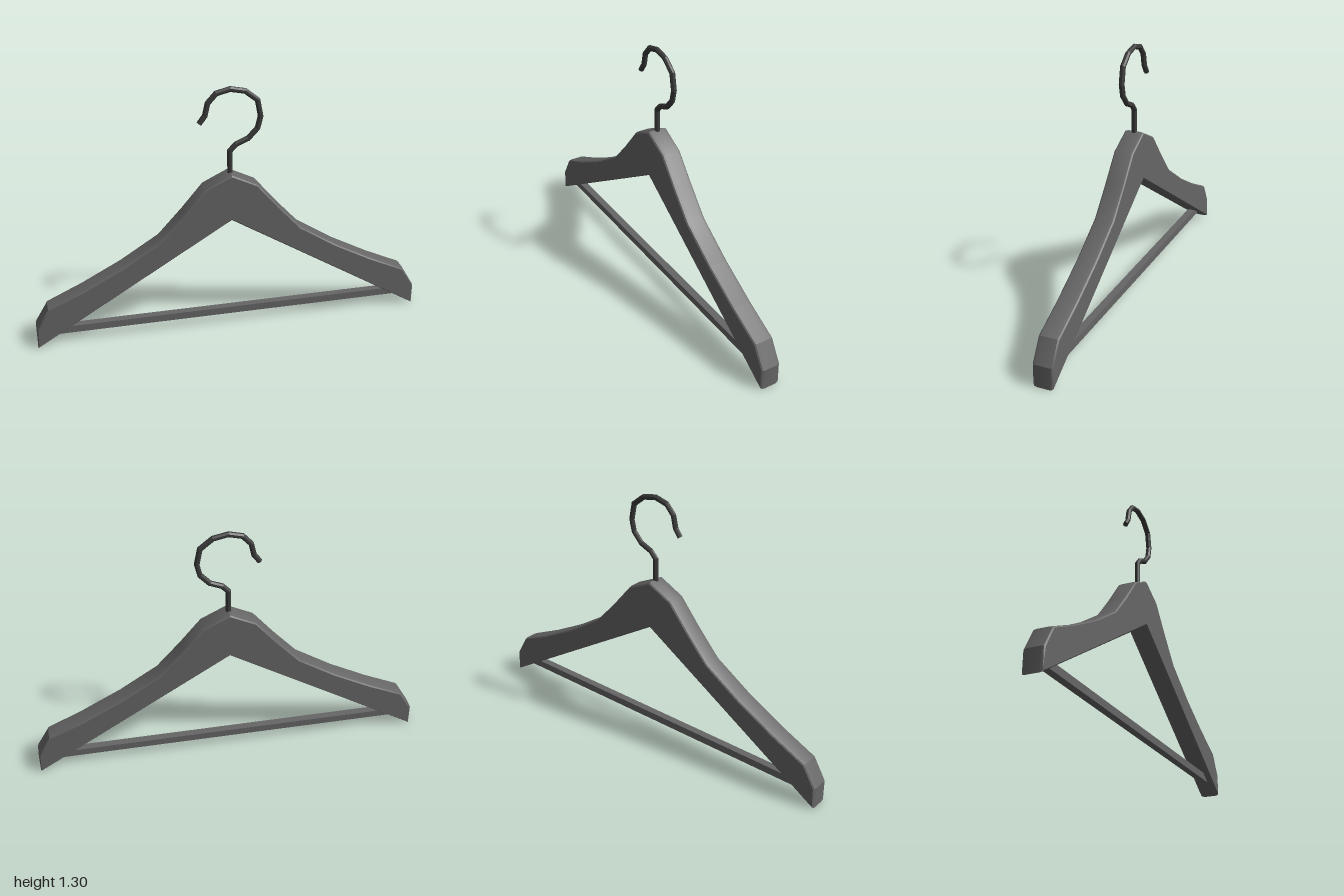
import * as THREE from 'three';
import { toCreasedNormals } from 'three/addons/utils/BufferGeometryUtils.js';

const frameMaterial = new THREE.MeshStandardMaterial({ color: 0x666666 });
const hookMaterial = new THREE.MeshStandardMaterial({ color: 0x3c3c3c });

function addPart(group, name, geometry, material) {
  const mesh = new THREE.Mesh(geometry, material);
  mesh.name = name;
  group.add(mesh);
}

// Shoulder frame: mirrored outline, extruded with a soft, shallow edge
function shoulderGeometry() {
  const half = [
    [1, 0.005], [1, 0.117], [0.935, 0.226], [0.755, 0.31], [0.555, 0.417],
    [0.36, 0.542], [0.24, 0.674], [0.132, 0.803],
  ];
  const mirrored = half.map(([x, y]) => [-x, y]).reverse();
  const outline = [[0, 0.62], ...half, [0, 0.868], ...mirrored];
  const shape = new THREE.Shape(outline.map(([x, y]) => new THREE.Vector2(x, y)));
  const bevel = 0.02;
  const geometry = new THREE.ExtrudeGeometry(shape, {
    depth: 0.1 - 2 * bevel, bevelThickness: bevel, bevelSize: 0.008, bevelOffset: -0.008, bevelSegments: 2,
  });
  geometry.translate(0, 0, bevel - 0.05);
  return toCreasedNormals(geometry, 0.5);
}

// Faceted rod swept along a flat path, with mitred joints and closed ends
function rodGeometry(path, radius, sides) {
  const points = path.map(([x, y]) => new THREE.Vector2(x, y));
  const last = points.length - 1;
  const positions = [];
  const index = [];
  points.forEach((p, i) => {
    const before = p.clone().sub(points[Math.max(i - 1, 0)]).normalize();
    const after = points[Math.min(i + 1, last)].clone().sub(p).normalize();
    const along = before.clone().add(after).normalize();
    const miter = radius / along.dot(i < last ? after : before);
    for (let s = 0; s < sides; s++) {
      const a = ((s + 0.5) / sides) * Math.PI * 2;
      const r = Math.cos(a) * miter;
      positions.push(p.x + along.y * r, p.y - along.x * r, Math.sin(a) * radius);
      if (i < last) {
        const a0 = i * sides + s;
        const b0 = i * sides + ((s + 1) % sides);
        index.push(a0, b0, b0 + sides, a0, b0 + sides, a0 + sides);
      }
    }
  });
  // End caps
  const end = last * sides;
  for (let s = 1; s < sides - 1; s++) {
    index.push(0, s + 1, s, end, end + s, end + s + 1);
  }
  const geometry = new THREE.BufferGeometry();
  geometry.setAttribute('position', new THREE.Float32BufferAttribute(positions, 3));
  geometry.setIndex(index);
  // The winding follows the sweep direction; make sure it faces outward
  const flat = geometry.toNonIndexed();
  flat.computeVertexNormals();
  const pos = flat.attributes.position;
  const nor = flat.attributes.normal;
  const middle = (points[0].x + points[1].x) / 2;
  if ((pos.getX(0) - middle) * nor.getX(0) + pos.getZ(0) * nor.getZ(0) < 0) {
    for (let i = 0; i < index.length; i += 3) [index[i + 1], index[i + 2]] = [index[i + 2], index[i + 1]];
    geometry.setIndex(index);
    const flipped = geometry.toNonIndexed();
    flipped.computeVertexNormals();
    return flipped;
  }
  return flat;
}

export function createModel() {
  const group = new THREE.Group();
  group.name = 'clothesHanger';

  addPart(group, 'shoulderFrame', shoulderGeometry(), frameMaterial);

  // Trouser bar, its ends sunk into the shoulder tips
  const bar = new THREE.BoxGeometry(1.84, 0.038, 0.038);
  bar.translate(0, 0.079, 0);
  addPart(group, 'trouserBar', bar, frameMaterial);

  // Hook rising from the neck and curling round to the right
  const hookPath = [
    [0, 0.84], [0, 0.978], [0.03, 1.01], [0.09, 1.035], [0.136, 1.085], [0.15, 1.145], [0.134, 1.228],
    [0.073, 1.277], [0, 1.292], [-0.067, 1.275], [-0.108, 1.23], [-0.122, 1.168], [-0.15, 1.13],
  ];
  addPart(group, 'hook', rodGeometry(hookPath, 0.0135, 8), hookMaterial);

  return group;
}
